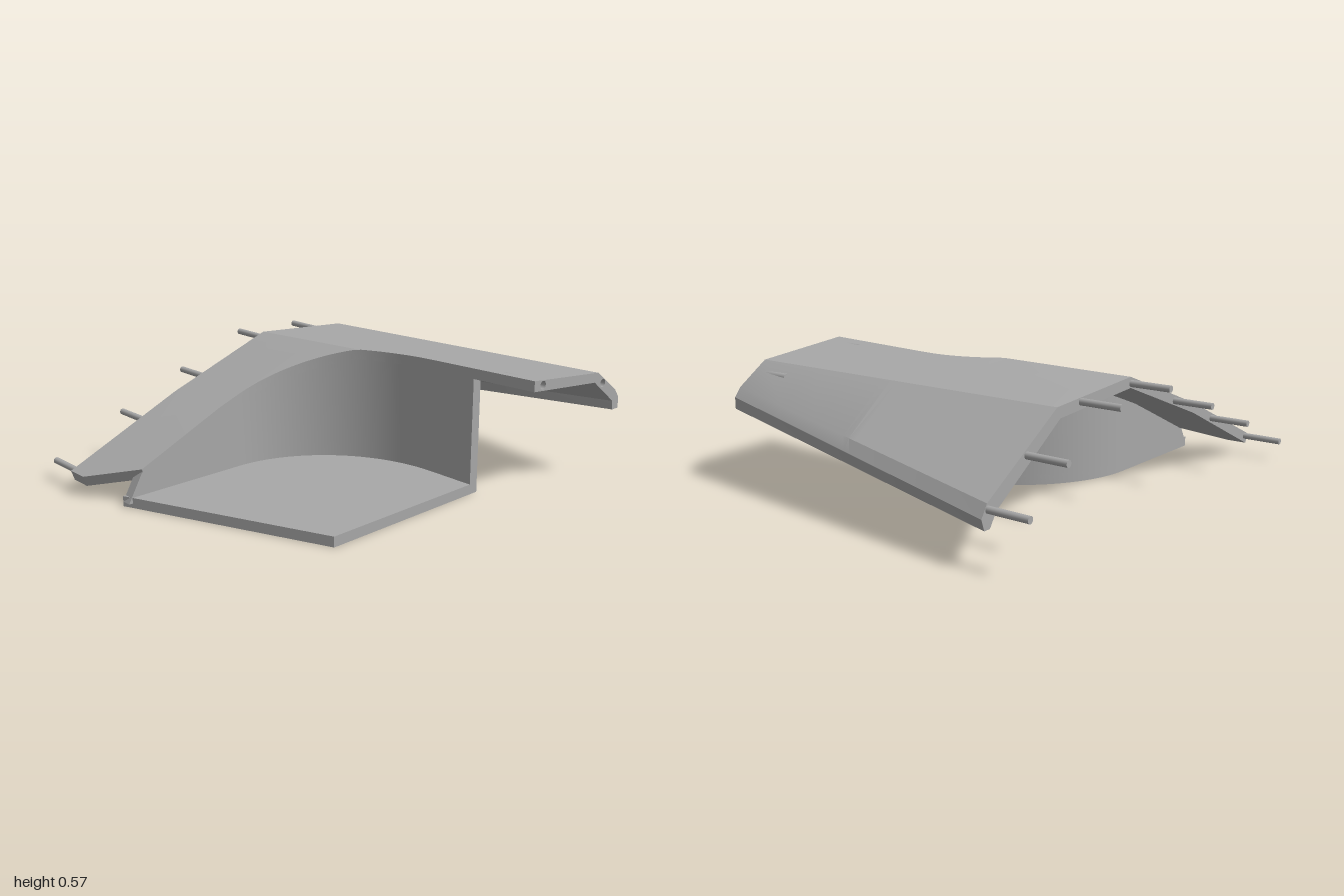
import * as THREE from 'three';
import { toCreasedNormals } from 'three/addons/utils/BufferGeometryUtils.js';

const BACK = -0.67, FRONT = 0.84, WALL = 0.045;
const lerp = THREE.MathUtils.lerp;

// Height of the roof skin: a fixed left slope meeting a gentle right slope that rises to the front
const along = (z) => (z - BACK) / (FRONT - BACK);
const ridge = (t) => [0.57 + 0.09 * t, 0.5 + 0.02 * t];
function rightSlope(t) {
  const a = 0.53 + 0.045 * t, [rx, ry] = ridge(t);
  return [a, (ry - a) / (rx - 0.15)];
}
function roofTop(x, z) {
  const [a, s] = rightSlope(along(z));
  const left = x < -0.45 ? 0.095 + (x + 1) * 0.4455 : 0.34 + (x + 0.45) * 0.373;
  return Math.min(left, a + s * (x - 0.15));
}
function crestX(t) {
  const [a, s] = rightSlope(t);
  return (a - 0.15 * s - 0.508) / (0.373 - s);
}

// Skin between successive closed cross-sections
function loft(sections, capped = false) {
  const pos = [];
  const tri = (...p) => p.forEach((v) => pos.push(...v));
  for (let i = 0; i + 1 < sections.length; i++) {
    const A = sections[i], B = sections[i + 1], n = A.length;
    for (let j = 0; j < n; j++) {
      const k = (j + 1) % n;
      tri(A[j], B[j], A[k]);
      tri(A[k], B[j], B[k]);
    }
  }
  if (capped) {
    const A = sections[0], B = sections[sections.length - 1];
    tri(A[0], A[1], A[2]); tri(A[0], A[2], A[3]);
    tri(B[0], B[2], B[1]); tri(B[0], B[3], B[2]);
  }
  const g = new THREE.BufferGeometry();
  g.setAttribute('position', new THREE.Float32BufferAttribute(pos, 3));
  return toCreasedNormals(g, 0.4);
}

// Closed roof cross-section at depth z, starting from the left edge xl
function roofSection(xl, z) {
  const t = along(z);
  const mix = (b, f) => [lerp(b[0], f[0], t), lerp(b[1], f[1], t), z];
  const xs = [xl, Math.max(xl, -0.45), Math.max(xl, crestX(t))];
  const top = xs.map((x) => [x, roofTop(x, z), z]);
  const under = xs.map((x, i) => [x + (i === 0 && xl < -0.8 ? 0.015 : 0), roofTop(x, z) - WALL, z]);
  return [
    ...top,
    [...ridge(t), z],
    mix([0.97, 0.24], [0.8, 0.42]),
    mix([1.0, 0.19], [0.83, 0.38]),
    mix([0.985, 0.145], [0.83, 0.33]),
    mix([0.955, 0.145], [0.79, 0.33]),
    mix([0.92, 0.2], [0.785, 0.37]),
    mix([0.55, 0.455], [0.64, 0.48]),
    ...under.reverse(),
  ];
}

function sectionShape(section, flip = 1) {
  const pts = section.map((p) => new THREE.Vector2(p[0] * flip, p[1]));
  return new THREE.Shape(pts.filter((p, i) => i === 0 || p.distanceTo(pts[i - 1]) > 1e-4));
}

export function createModel() {
  const model = new THREE.Group();
  const grey = new THREE.MeshStandardMaterial({ color: 0xa8a8a8, side: THREE.DoubleSide });
  grey.name = 'plain grey';
  const add = (name, geometry, parent = model) => {
    const mesh = new THREE.Mesh(geometry, grey);
    mesh.name = name;
    parent.add(mesh);
    return mesh;
  };

  // Inner line of the curved wall, as [x, z], and the same line offset outwards
  const bend = new THREE.CubicBezierCurve(
    new THREE.Vector2(-0.35, -0.33), new THREE.Vector2(-0.06, -0.33),
    new THREE.Vector2(0.22, -0.06), new THREE.Vector2(0.22, 0.3));
  const inner = [[-0.86, -0.33], [-0.6, -0.33], [-0.45, -0.33],
    ...bend.getPoints(28).map((p) => [p.x, p.y]), [0.22, 0.53]];
  const outer = inner.map(([x, z], i) => {
    const a = inner[Math.max(i - 1, 0)], b = inner[Math.min(i + 1, inner.length - 1)];
    const dx = b[0] - a[0], dz = b[1] - a[1], l = Math.hypot(dx, dz);
    if (i === inner.length - 1) return [x + WALL, z];
    return [x + (dz / l) * WALL, z - (dx / l) * WALL];
  });

  // Roof shell with its two end faces
  const rows = [[-1, BACK], [-1, -0.57], ...inner, [0.22, FRONT]];
  const sections = rows.map(([x, z]) => roofSection(x, z));
  const roof = new THREE.Group();
  roof.name = 'roof';
  model.add(roof);
  add('roofShell', loft(sections), roof);
  const backFace = new THREE.ShapeGeometry(sectionShape(sections[0], -1));
  add('roofBackFace', backFace.rotateY(Math.PI).translate(0, 0, BACK), roof);

  // Front face with two bored sockets
  const frontShape = sectionShape(sections[sections.length - 1]);
  const bores = [[0.275, 0.541], [0.7, 0.467]];
  const r = 0.018, depth = 0.19;
  for (const [x, y] of bores) {
    frontShape.holes.push(new THREE.Path().absarc(x, y, r, 0, Math.PI * 2, true));
    add('socket', new THREE.CylinderGeometry(r, r, depth, 24, 1, true)
      .rotateX(Math.PI / 2).translate(x, y, FRONT - depth / 2), roof);
    add('socketEnd', new THREE.CircleGeometry(r, 24).translate(x, y, FRONT - depth), roof);
  }
  add('roofFrontFace', new THREE.ShapeGeometry(frontShape, 24).translate(0, 0, FRONT), roof);

  // Curved wall between floor and roof, its left end leaning in
  const wallSections = inner.map(([x, z], i) => {
    const [ox, oz] = outer[i];
    const foot = i === 0 ? -0.07 : 0;
    return [
      [x + foot, 0.02, z], [x, roofTop(x, z) - 0.015, z],
      [ox, roofTop(ox, oz) - 0.015, oz], [ox + foot, 0.02, oz],
    ];
  });
  add('curvedWall', loft(wallSections, true));

  // Floor plate
  const outline = [[-0.93, -0.375], ...outer.slice(1), [-0.57, 0.53]];
  const floorShape = new THREE.Shape(outline.map(([x, z]) => new THREE.Vector2(x, -z)));
  const floor = new THREE.ExtrudeGeometry(floorShape, { depth: WALL, bevelEnabled: false });
  add('floor', toCreasedNormals(floor.rotateX(-Math.PI / 2), 0.4));

  // Joining pins along the back edge
  const pins = [[-0.97, 0.088], [-0.62, 0.24], [-0.28, 0.378], [0.07, 0.508],
    [0.42, 0.495], [0.75, 0.36], [0.965, 0.217]];
  for (const [x, y] of pins) {
    add('pin', new THREE.CylinderGeometry(0.014, 0.014, 0.22, 20)
      .rotateX(Math.PI / 2).translate(x, y, -0.74));
  }
  return model;
}
